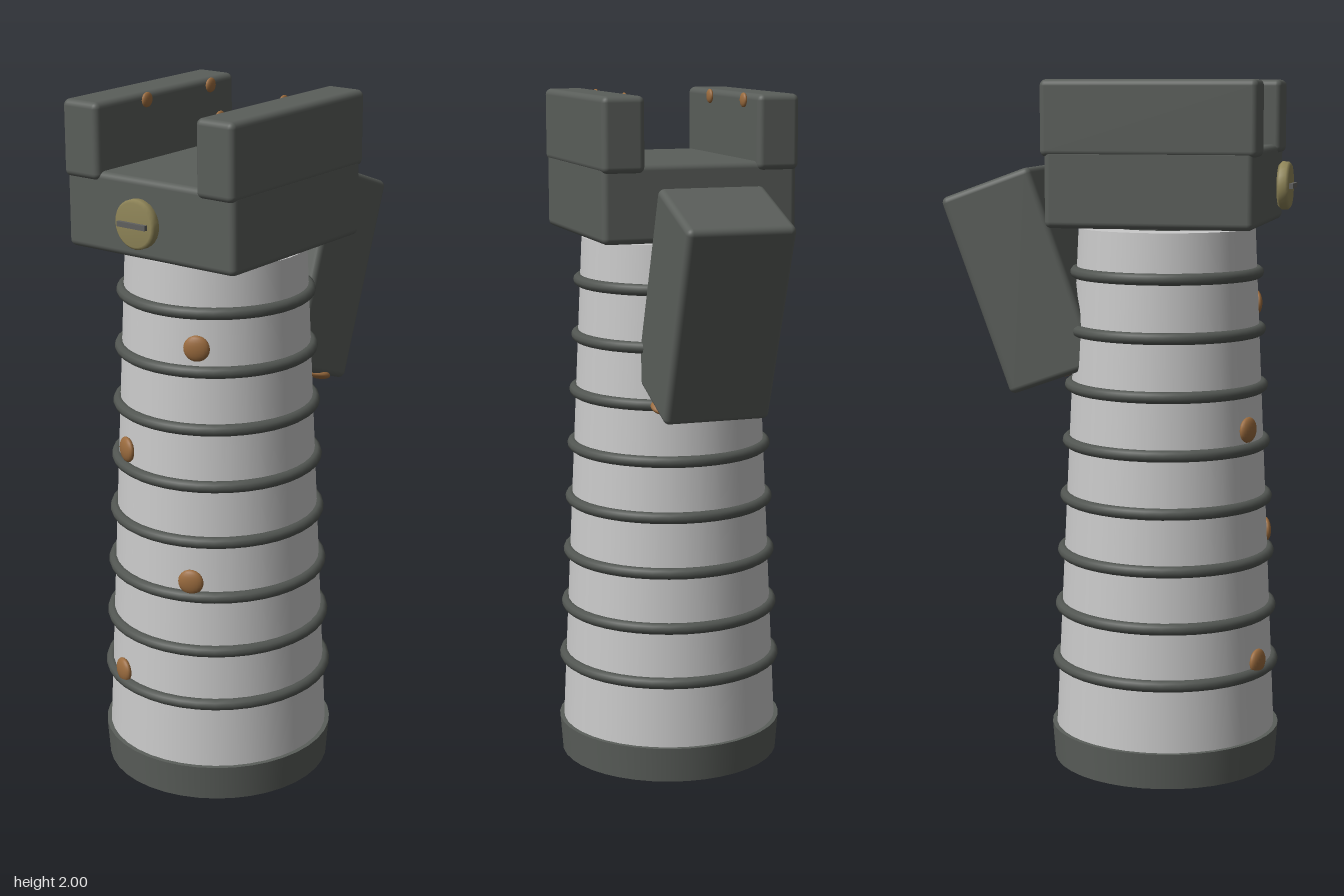
import * as THREE from 'three';
import { RoundedBoxGeometry } from 'three/addons/geometries/RoundedBoxGeometry.js';

const material = (name, color) => {
  const m = new THREE.MeshStandardMaterial({ color });
  m.name = name;
  return m;
};

export function createModel() {
  const darkGrey = material('dark grey', 0x5a5e5a);
  const ringGrey = material('ring grey', 0x525652);
  const lightGrey = material('light grey', 0xcacaca);
  const copper = material('copper', 0x9a6b3e);
  const brass = material('brass', 0x8f8558);
  const slotGrey = material('slot grey', 0x60605e);

  const model = new THREE.Group();
  model.name = 'grip';
  const axisZ = 0.13; // centre line of the handle

  const add = (name, geometry, mat, x, y, z, parent = model) => {
    const mesh = new THREE.Mesh(geometry, mat);
    mesh.name = name;
    mesh.position.set(x, y, z);
    parent.add(mesh);
    return mesh;
  };
  const block = (name, w, h, d, x, y, z, parent) =>
    add(name, new RoundedBoxGeometry(w, h, d, 3, 0.018), darkGrey, x, y, z, parent);

  // flattened stud, thin along its local z
  const studGeometry = new THREE.SphereGeometry(1, 20, 12);
  const stud = (name, r, x, y, z, parent) => {
    const s = add(name, studGeometry, copper, x, y, z, parent);
    s.scale.set(r, r, r * 0.42);
    return s;
  };

  // tapered handle with base cap and neck
  const bottomY = 0.1, topY = 1.58, bottomR = 0.325, topR = 0.256;
  const radiusAt = (y) => THREE.MathUtils.mapLinear(y, bottomY, topY, bottomR, topR);
  add('handle', new THREE.CylinderGeometry(topR, bottomR, topY - bottomY, 40), lightGrey, 0, (topY + bottomY) / 2, axisZ);
  add('baseCap', new THREE.CylinderGeometry(0.338, 0.33, 0.105, 40), darkGrey, 0, 0.0525, axisZ);
  add('neck', new THREE.CylinderGeometry(0.157, 0.157, 0.05, 32), ringGrey, 0, 1.59, axisZ);

  // grip rings
  for (let i = 0; i < 8; i++) {
    const y = 0.301 + i * 0.1645;
    const ring = add('gripRing', new THREE.TorusGeometry(radiusAt(y) + 0.003, 0.017, 10, 40), ringGrey, 0, y, axisZ);
    ring.rotation.x = Math.PI / 2;
  }

  // studs alternating down the front of the handle
  for (let i = 0; i < 4; i++) {
    const y = 0.335 + i * 0.34;
    const x = i % 2 ? 0.12 : -0.12;
    const r = radiusAt(y);
    const angle = Math.asin(x / r);
    stud('handleStud', 0.037, x, y, axisZ + r * Math.cos(angle) + 0.006).rotation.y = angle;
  }

  // head block with two side rails
  block('head', 0.575, 0.222, 0.588, 0, 1.702, 0.131);
  for (const side of [-1, 1]) {
    block('rail', 0.124, 0.212, 0.61, side * 0.228, 1.894, 0.13);
    const start = side < 0 ? -0.06 : 0.035;
    for (const z of [start, start + 0.285]) {
      stud('railStud', 0.021, side * 0.163, 1.98, z).rotation.y = Math.PI / 2;
    }
  }

  // round knob with a slot bar, set in front of the head
  const knobProfile = [[0, -0.017], [0.06, -0.017], [0.068, -0.009], [0.068, 0.009], [0.06, 0.017], [0, 0.017]]
    .map(([r, h]) => new THREE.Vector2(r, h));
  const knob = add('knob', new THREE.LatheGeometry(knobProfile, 28), brass, 0, 1.703, 0.472);
  knob.rotation.x = Math.PI / 2;
  add('knobSlot', new THREE.BoxGeometry(0.096, 0.014, 0.018), slotGrey, 0, 1.703, 0.491);

  // tilted box behind the handle, with one stud underneath
  const rear = new THREE.Group();
  rear.name = 'rearBox';
  rear.position.set(0, 1.427, -0.272);
  rear.rotation.x = THREE.MathUtils.degToRad(-20);
  model.add(rear);
  block('rearBoxBody', 0.312, 0.6, 0.28, 0, 0, 0, rear);
  stud('rearBoxStud', 0.037, 0.125, -0.3, -0.033, rear).rotation.x = Math.PI / 2;

  return model;
}
